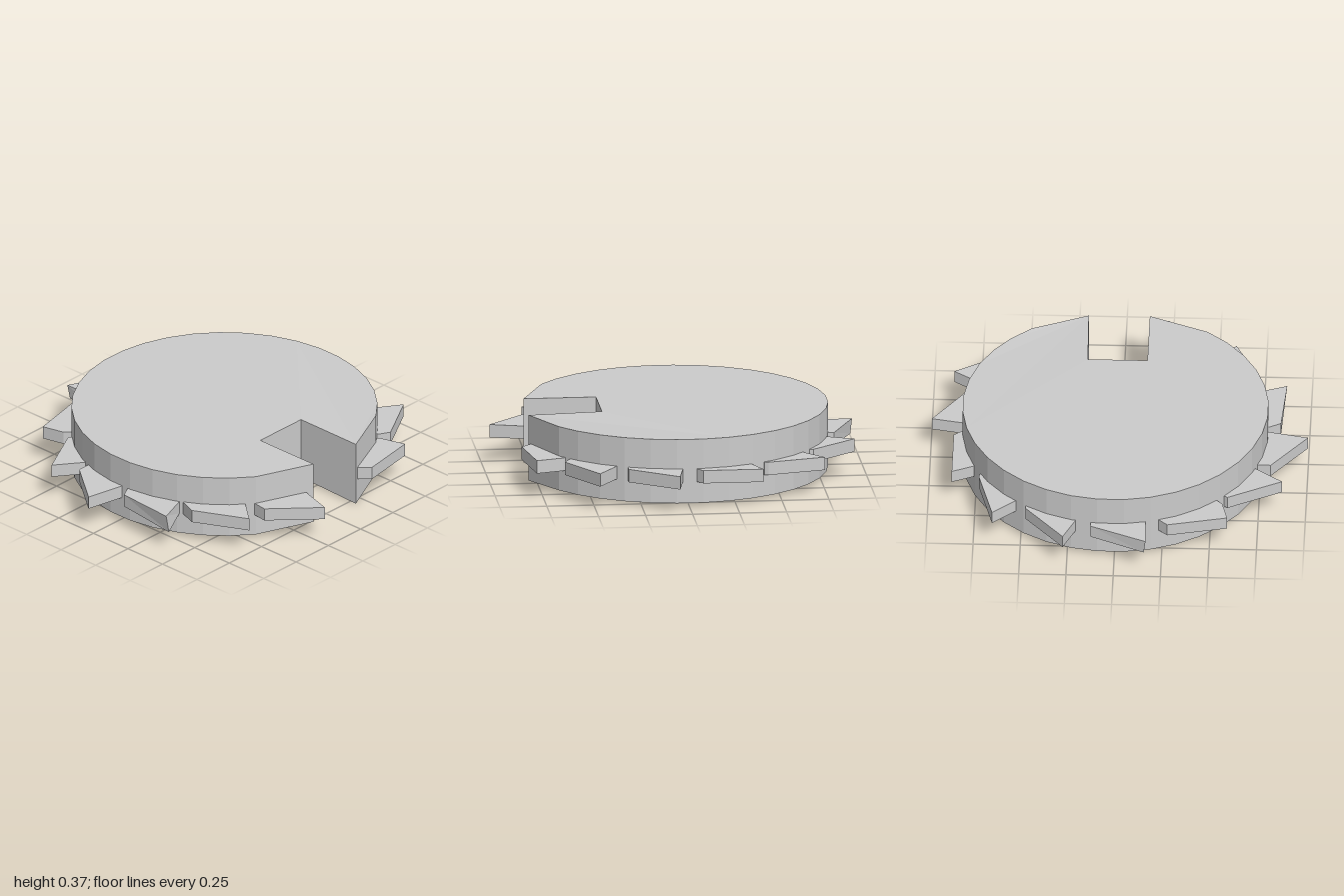
import * as THREE from 'three';

const material = new THREE.MeshStandardMaterial({ color: 0xcccccc, flatShading: true });
const CX = 0.02, CZ = -0.005, R = 0.81;

// Flat plate with an [x, z] outline between two heights
function plate(outline, bottom, top) {
  const shape = new THREE.Shape(outline.map(([x, z]) => new THREE.Vector2(x, z)));
  const geo = new THREE.ExtrudeGeometry(shape, { depth: top - bottom, bevelEnabled: false });
  return geo.rotateX(Math.PI / 2).translate(0, top, 0);
}

// Shift the vertices above one outline corner
function moveCorner(geo, [x, z], rule) {
  const p = geo.attributes.position;
  for (let i = 0; i < p.count; i++) {
    if (Math.hypot(p.getX(i) - x, p.getZ(i) - z) < 1e-4) rule(p, i);
  }
  geo.computeVertexNormals();
}

// Teeth clockwise from the back: tip, heel, heel root, tip root as [x, z]
const TEETH = [
  [[-0.17, -0.965], [0.125, -0.84], [0.125, -0.8], [-0.165, -0.78]],
  [[0.27, -0.935], [0.475, -0.695], [0.475, -0.675], [0.205, -0.79]],
  [[0.65, -0.74], [0.73, -0.43], [0.725, -0.41], [0.525, -0.63]],
  [[0.875, -0.39], [0.875, -0.07], [0.835, -0.04], [0.75, -0.335]],
  [[0.995, 0.065], [0.81, 0.32], [0.77, 0.32], [0.835, 0.035]],
  [[0.89, 0.48], [0.617, 0.64], [0.56, 0.61], [0.74, 0.38]],
  [[0.575, 0.785], [0.265, 0.835], [0.21, 0.78], [0.53, 0.64]],
  [[-0.23, 0.957], [-0.46, 0.733], [-0.45, 0.65], [-0.175, 0.77]],
  [[-0.595, 0.75], [-0.735, 0.465], [-0.7, 0.37], [-0.495, 0.63]],
  [[-0.875, 0.41], [-0.853, 0.085], [-0.79, 0.05], [-0.71, 0.35]],
  [[-1.0, -0.035], [-0.81, -0.28], [-0.74, -0.28], [-0.785, 0.01]],
  [[-0.875, -0.42], [-0.59, -0.567], [-0.565, -0.55], [-0.735, -0.315]],
  [[-0.595, -0.745], [-0.28, -0.815], [-0.23, -0.77], [-0.565, -0.625]],
];
// Teeth whose lower tip sags a little: index -> drop
const SAG = { 0: 0.01, 9: 0.025 };

export function createModel() {
  const group = new THREE.Group();
  const add = (geo, name) => {
    const mesh = new THREE.Mesh(geo, material);
    mesh.name = name;
    group.add(mesh);
  };

  // Faceted disc with a square slot cut into the front
  const slotCorner = [0.188, 0.79];
  const outline = [[-0.135, 0.4], [0.18, 0.4], slotCorner];
  for (let deg = 35; deg <= 325; deg += 10) {
    const a = THREE.MathUtils.degToRad(deg);
    outline.push([CX + R * Math.sin(a), CZ + R * Math.cos(a)]);
  }
  outline.push([-0.135, 0.785]);
  const disc = plate(outline, 0.018, 0.365);
  moveCorner(disc, slotCorner, (p, i) => p.setY(i, p.getY(i) - (p.getY(i) > 0.2 ? 0.008 : 0.018)));
  add(disc, 'slottedDisc');

  // Ring of saw teeth, roots sunk into the rim
  const sink = ([x, z]) => [CX + (x - CX) * 0.95, CZ + (z - CZ) * 0.95];
  TEETH.forEach(([tip, heel, heelRoot, tipRoot], n) => {
    const geo = plate([tip, heel, heelRoot, sink(heelRoot), sink(tipRoot), tipRoot], 0.135, 0.205);
    if (SAG[n]) {
      moveCorner(geo, tip, (p, i) => {
        if (p.getY(i) < 0.17) p.setXYZ(i, p.getX(i) + 0.01, p.getY(i) - SAG[n], p.getZ(i) + 0.01);
      });
    }
    add(geo, `tooth${n + 1}`);
  });
  return group;
}
